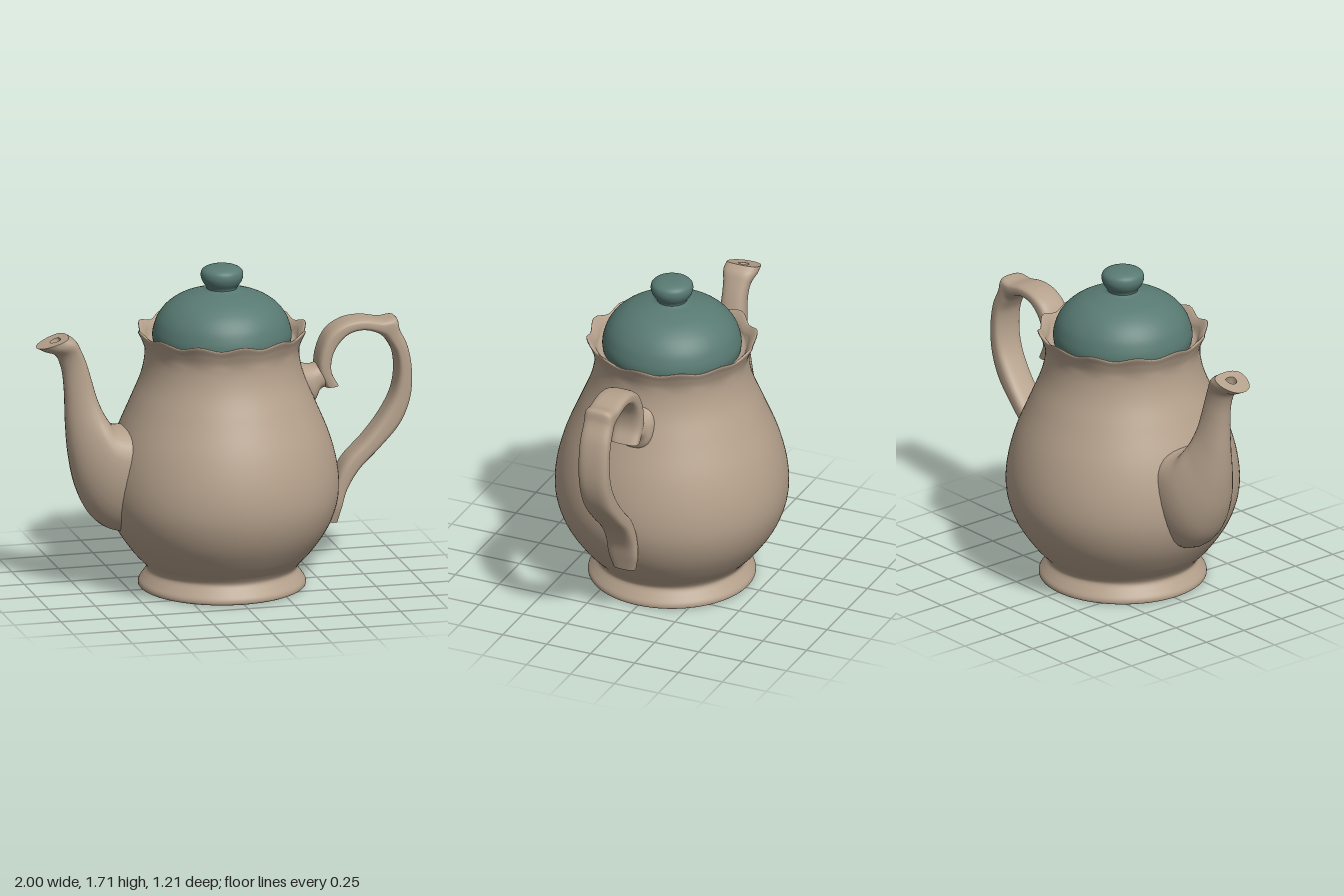
import * as THREE from 'three';
import { mergeVertices } from 'three/addons/utils/BufferGeometryUtils.js';

const clay = new THREE.MeshStandardMaterial({ color: 0xb5a18c, side: THREE.DoubleSide });
clay.name = 'clay';
const teal = new THREE.MeshStandardMaterial({ color: 0x587a72, side: THREE.DoubleSide });
teal.name = 'teal glaze';

const AXIS_X = -0.008; // pot axis sits a hair off the overall centre

function add(group, name, geometry, material) {
  const mesh = new THREE.Mesh(geometry, material);
  mesh.name = name;
  group.add(mesh);
  return mesh;
}

// Lathe with welded seam; warp(vector) may reshape each vertex.
function turned(points, steps, warp) {
  const curve = new THREE.SplineCurve(points.map(([r, y]) => new THREE.Vector2(r, y)));
  const profile = curve.getPoints(steps);
  profile.forEach((p) => { p.x = Math.max(p.x, 0); });
  const lathe = new THREE.LatheGeometry(profile, 96);
  lathe.deleteAttribute('uv');
  lathe.deleteAttribute('normal');
  const p = lathe.attributes.position;
  const v = new THREE.Vector3();
  for (let i = 0; warp && i < p.count; i++) {
    v.fromBufferAttribute(p, i);
    warp(v);
    p.setXYZ(i, v.x, v.y, v.z);
  }
  const geometry = mergeVertices(lathe, 1e-5);
  geometry.computeVertexNormals();
  return geometry;
}

// Skin over closed rings of equal length.
function skin(rings) {
  const n = rings[0].length;
  const index = [];
  for (let i = 0; i < rings.length - 1; i++) {
    for (let j = 0; j < n; j++) {
      const k = (j + 1) % n;
      const a = i * n + j, b = i * n + k, c = a + n, d = b + n;
      index.push(a, b, c, b, d, c);
    }
  }
  const geometry = new THREE.BufferGeometry().setFromPoints(rings.flat());
  geometry.setIndex(index);
  geometry.computeVertexNormals();
  return geometry;
}

// Rings from sections [outerX, outerY, innerX, innerY, halfWidth].
// power < 1 squares the section off; skew moves the widest point inward.
function sweepRings(sections, steps, power, skew) {
  const spline = (f) => new THREE.CatmullRomCurve3(sections.map(f));
  const outer = spline((s) => new THREE.Vector3(s[0], s[1], s[4]));
  const inner = spline((s) => new THREE.Vector3(s[2], s[3], 0));
  const shape = (c) => Math.sign(c) * Math.pow(Math.abs(c), power);
  const rings = [];
  for (let i = 0; i <= steps; i++) {
    const o = outer.getPoint(i / steps), e = inner.getPoint(i / steps);
    const ring = [];
    for (let j = 0; j < 32; j++) {
      const a = (j / 32) * Math.PI * 2;
      let t = 0.5 - 0.5 * shape(Math.cos(a));
      t += skew * t * (1 - t);
      ring.push(new THREE.Vector3(
        THREE.MathUtils.lerp(o.x, e.x, t),
        THREE.MathUtils.lerp(o.y, e.y, t),
        o.z * shape(Math.sin(a))));
    }
    rings.push(ring);
  }
  return rings;
}

// Copy of a ring scaled about its centre and shifted.
function shrink(ring, scale, dx = 0, dy = 0) {
  const c = ring.reduce((s, p) => s.add(p), new THREE.Vector3()).divideScalar(ring.length);
  const shift = new THREE.Vector3(dx, dy, 0);
  return ring.map((p) => p.clone().sub(c).multiplyScalar(scale).add(c).add(shift));
}

// Scalloped rim: waves fade in above the neck
function scallop(v) {
  const w = THREE.MathUtils.clamp((v.y - 1.25) / 0.12, 0, 1);
  const r = Math.hypot(v.x, v.z);
  if (w === 0 || r < 0.39) return;
  const wave = Math.cos(12 * Math.atan2(v.z, v.x)) * w;
  const k = (r + 0.009 * wave) / r;
  v.set(v.x * k, v.y + 0.012 * wave, v.z * k);
}

function createPot() {
  const pot = new THREE.Group();
  pot.name = 'pot';
  pot.position.x = AXIS_X;
  add(pot, 'foot', turned([
    [0.42, 0], [0.433, 0.008], [0.432, 0.03], [0.412, 0.06], [0.392, 0.09], [0.393, 0.11], [0.41, 0.135],
  ], 24), clay);
  add(pot, 'body', turned([
    [0.41, 0.135], [0.47, 0.2], [0.545, 0.31], [0.59, 0.42], [0.606, 0.53], [0.594, 0.66],
    [0.553, 0.81], [0.48, 0.985], [0.428, 1.11], [0.405, 1.2], [0.402, 1.27], [0.418, 1.325],
    [0.436, 1.365], [0.427, 1.371], [0.402, 1.345], [0.38, 1.31], [0.34, 1.3],
  ], 110, scallop), clay);
  const base = add(pot, 'base', new THREE.CircleGeometry(0.42, 96), clay);
  base.rotation.x = Math.PI / 2;
  return pot;
}

function createLid() {
  const lid = new THREE.Group();
  lid.name = 'lid';
  lid.position.x = AXIS_X;
  add(lid, 'lidDome', turned([
    [0.355, 1.3], [0.361, 1.34], [0.354, 1.385], [0.333, 1.44], [0.29, 1.495],
    [0.225, 1.54], [0.15, 1.567], [0.095, 1.58], [0.07, 1.595],
  ], 48), teal);
  add(lid, 'knob', turned([
    [0.08, 1.575], [0.08, 1.595], [0.1, 1.625], [0.11, 1.655], [0.104, 1.685],
    [0.075, 1.703], [0.035, 1.71], [0, 1.711],
  ], 36), teal);
  return lid;
}

function createSpout() {
  const spout = new THREE.Group();
  spout.name = 'spout';
  const rings = sweepRings([
    [-0.48, 0.32, -0.46, 0.86, 0.2],
    [-0.55, 0.325, -0.52, 0.88, 0.207],
    [-0.64, 0.355, -0.565, 0.885, 0.203],
    [-0.725, 0.435, -0.6, 0.9, 0.188],
    [-0.79, 0.57, -0.63, 0.94, 0.16],
    [-0.828, 0.74, -0.655, 0.985, 0.125],
    [-0.845, 0.92, -0.685, 1.06, 0.092],
    [-0.852, 1.1, -0.71, 1.15, 0.072],
    [-0.868, 1.22, -0.74, 1.25, 0.066],
    [-0.9, 1.29, -0.765, 1.31, 0.072],
    [-0.96, 1.315, -0.795, 1.365, 0.088],
    [-1.0, 1.335, -0.835, 1.393, 0.088],
  ], 66, 0.9, 0.55);
  add(spout, 'spoutTube', skin(rings), clay);
  // Lip around a small pouring hole
  const tip = rings[rings.length - 1];
  const hole = shrink(tip, 0.32, 0.01, 0.002);
  add(spout, 'spoutLip', skin([tip, hole]), clay);
  add(spout, 'pouringHole', skin([hole, shrink(hole, 0.9, 0.02, -0.05), shrink(hole, 0, 0.02, -0.05)]), clay);
  return spout;
}

function createHandle() {
  const handle = new THREE.Group();
  handle.name = 'handle';
  const strap = sweepRings([
    [0.53, 1.03, 0.605, 1.035, 0.075],
    [0.492, 1.12, 0.568, 1.11, 0.08],
    [0.505, 1.23, 0.572, 1.19, 0.082],
    [0.555, 1.325, 0.605, 1.255, 0.082],
    [0.64, 1.375, 0.66, 1.305, 0.082],
    [0.74, 1.386, 0.735, 1.32, 0.082],
    [0.84, 1.37, 0.81, 1.3, 0.082],
    [0.915, 1.375, 0.85, 1.27, 0.08],
    [0.932, 1.315, 0.878, 1.235, 0.08],
    [0.975, 1.22, 0.908, 1.175, 0.082],
    [0.998, 1.08, 0.917, 1.07, 0.082],
    [0.988, 0.94, 0.895, 0.965, 0.082],
    [0.935, 0.81, 0.835, 0.855, 0.082],
    [0.83, 0.69, 0.745, 0.74, 0.082],
    [0.715, 0.575, 0.635, 0.625, 0.082],
    [0.65, 0.47, 0.585, 0.52, 0.082],
    [0.622, 0.38, 0.565, 0.4, 0.08],
    [0.6, 0.3, 0.55, 0.305, 0.06],
  ], 100, 0.62, 0);
  const last = strap[strap.length - 1];
  add(handle, 'handleStrap', skin(strap), clay);
  add(handle, 'scrollEnd', skin([shrink(strap[0], 0), strap[0]]), clay);
  add(handle, 'strapEnd', skin([last, shrink(last, 0)]), clay);
  // Short stub joining the scroll to the neck
  const stub = sweepRings([
    [0.36, 1.19, 0.42, 0.92, 0.1],
    [0.42, 1.155, 0.48, 0.955, 0.095],
    [0.465, 1.146, 0.512, 1.015, 0.082],
    [0.51, 1.16, 0.56, 1.03, 0.072],
  ], 20, 0.85, 0);
  const end = stub[stub.length - 1];
  add(handle, 'handleStub', skin([...stub, shrink(end, 0)]), clay);
  return handle;
}

export function createModel() {
  const model = new THREE.Group();
  model.name = 'teapot';
  model.add(createPot(), createLid(), createSpout(), createHandle());
  return model;
}
